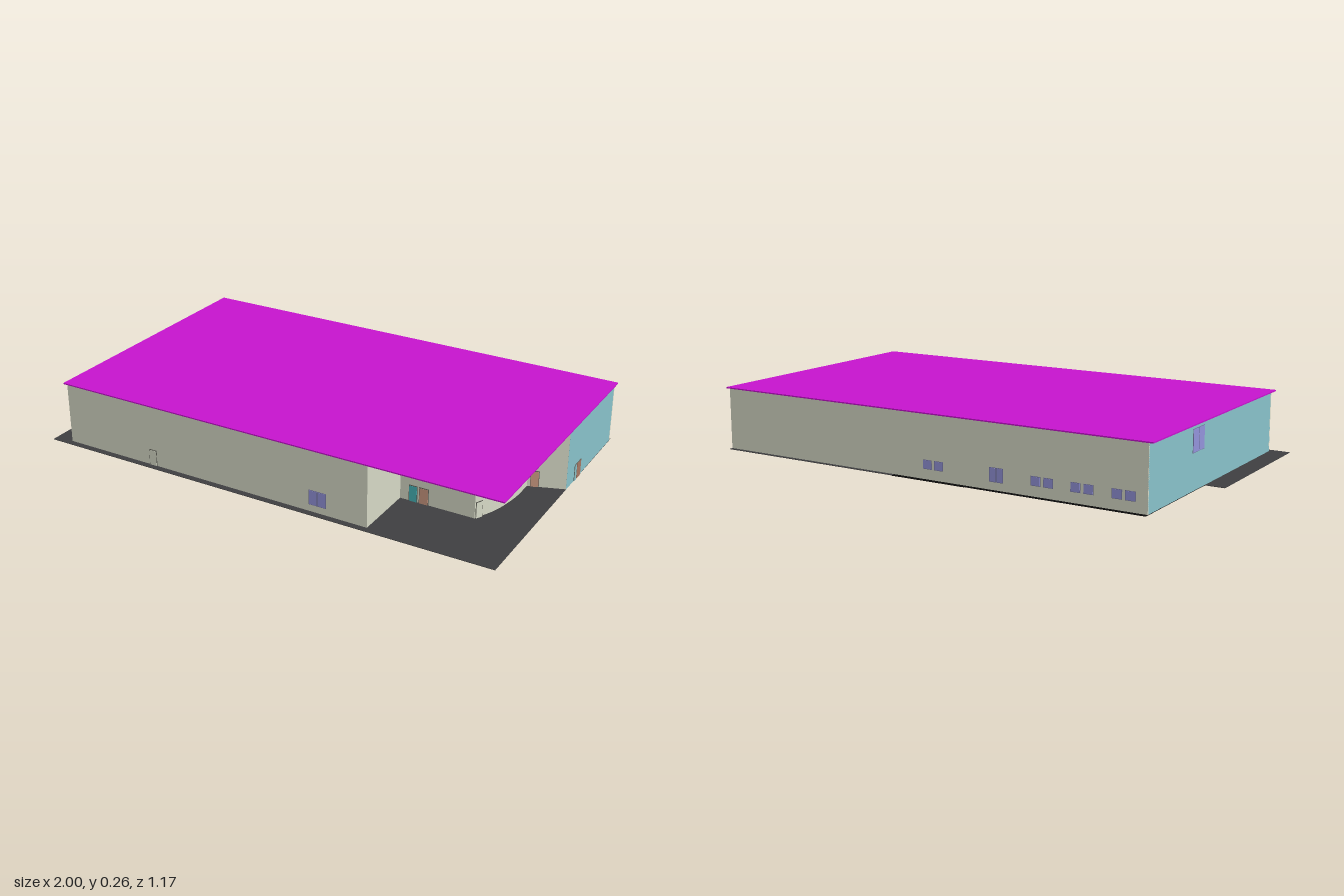
import * as THREE from 'three';

const H = 0.255, T = 0.006;
const CREAM = 0xd8dbc8, CYAN = 0x8ac4cc, DARK = 0x404042, BLACK = 0x0b0b0b;
const LILAC = 0x9494dc, FRAME = 0x77779c, SALMON = 0xcc9a82, TEAL = 0x48b4b8, GREY = 0x606058;

const mats = {};
const mat = (color) => (mats[color] ??= new THREE.MeshStandardMaterial({ color }));

function box(name, w, h, d, x, y, z, color, parent) {
  const m = new THREE.Mesh(new THREE.BoxGeometry(w, h, d), mat(color));
  m.name = name;
  m.position.set(x, y, z);
  parent.add(m);
  return m;
}

// Horizontal slab given by its x and z limits
function slab(name, x0, x1, z0, z1, y0, y1, color, parent) {
  return box(name, x1 - x0, y1 - y0, z1 - z0, (x0 + x1) / 2, (y0 + y1) / 2, (z0 + z1) / 2, color, parent);
}

// Wall group: local x runs from a to b, local +z points outwards
function wall(name, a, b, color, parent, trim = 0) {
  const g = new THREE.Group();
  const dx = b[0] - a[0], dz = b[1] - a[1], len = Math.hypot(dx, dz);
  g.name = name;
  g.position.set(a[0], 0, a[1]);
  g.rotation.y = Math.atan2(-dz, dx);
  box(name + 'Panel', len - 2 * trim, H, T, len / 2, H / 2, -T / 2, color, g);
  parent.add(g);
  return g;
}

// Door leaf in a thin frame, s is the distance along the wall
function door(g, s, w, color, h = 0.07) {
  box('doorFrame', w, h, 0.002, s, h / 2, 0.0005, GREY, g);
  box('doorLeaf', w - 0.004, h - 0.003, 0.003, s, (h - 0.003) / 2, 0.001, color, g);
}

// Window with a frame and a row of panes
function windowUnit(g, s, y, w, h, panes) {
  box('windowFrame', w, h, 0.002, s, y, 0.0005, FRAME, g);
  const pw = w / panes;
  for (let i = 0; i < panes; i++) {
    box('windowPane', pw - 0.004, h - 0.004, 0.003, s - w / 2 + pw * (i + 0.5), y, 0.001, LILAC, g);
  }
}

export function createModel() {
  const root = new THREE.Group();
  root.name = 'building';

  // Roof and ground slabs
  slab('roof', -0.94, 1, -0.58, 0.56, H, 0.26, 0xc814d0, root);
  slab('forecourt', -1, 0.99, -0.09, 0.585, 0, 0.002, DARK, root);
  slab('rearFloor', 0.15, 0.99, -0.585, -0.09, 0, 0.002, DARK, root);
  slab('middleFloor', -0.18, 0.15, -0.27, -0.09, 0, 0.002, DARK, root);
  slab('blackFloor', -0.18, 0.15, -0.588, -0.27, 0, 0.002, BLACK, root);
  slab('blackFloorEnd', -0.92, -0.18, -0.585, -0.09, 0, 0.002, BLACK, root);

  // Front wall with a door and a two-pane window
  const front = wall('frontWall', [-0.92, 0.56], [0.47, 0.56], CREAM, root);
  door(front, 0.42, 0.036, CREAM);
  windowUnit(front, 1.18, 0.062, 0.075, 0.062, 2);

  // Recessed entrance
  wall('recessSideWall', [0.47, 0.56], [0.47, 0.3], CREAM, root);
  const entrance = wall('entranceWall', [0.47, 0.3], [0.78, 0.3], CREAM, root);
  door(entrance, 0.055, 0.036, TEAL);
  door(entrance, 0.1, 0.04, SALMON);

  // Bowed wall, one smooth sheet swept up from a curve
  const bow = new THREE.CatmullRomCurve3(
    [[0.78, 0.3], [0.823, 0.2], [0.847, 0.08], [0.85, -0.03]].map(([x, z]) => new THREE.Vector3(x, 0, z)));
  const sheet = new THREE.PlaneGeometry(1, H, 24, 1);
  const p = sheet.attributes.position;
  for (let i = 0; i < p.count; i++) {
    const c = bow.getPoint(p.getX(i) + 0.5);
    p.setXYZ(i, c.x, p.getY(i) + H / 2, c.z);
  }
  sheet.computeVertexNormals();
  const bowWall = new THREE.Mesh(sheet,
    new THREE.MeshStandardMaterial({ color: CREAM, side: THREE.DoubleSide }));
  bowWall.name = 'bowedWall';
  root.add(bowWall);

  // Door set on the start of the bow
  const bowDoor = new THREE.Group();
  bowDoor.name = 'bowedWallDoor';
  bowDoor.position.set(0.79, 0, 0.284);
  bowDoor.rotation.y = Math.atan2(0.1, 0.05);
  door(bowDoor, 0, 0.032, CREAM);
  root.add(bowDoor);

  // Slanted wall beside the bow
  const slant = wall('slantedWall', [0.85, -0.03], [0.99, -0.08], CREAM, root);
  door(slant, 0.028, 0.034, SALMON);

  // Coloured end walls
  const leftEnd = wall('leftEndWall', [0.99, -0.08], [0.99, -0.57], CYAN, root, 0.001);
  door(leftEnd, 0.092, 0.022, CYAN);
  door(leftEnd, 0.125, 0.045, 0xa87864);
  const rightEnd = wall('rightEndWall', [-0.92, -0.57], [-0.92, 0.56], CYAN, root, 0.001);
  windowUnit(rightEnd, 0.41, 0.19, 0.1, 0.09, 2);

  // Back wall: one larger window and four pairs of small ones
  const back = wall('backWall', [0.99, -0.57], [-0.92, -0.57], CREAM, root);
  windowUnit(back, 0.99 + 0.31, 0.06, 0.06, 0.055, 2);
  for (const x of [-0.03, -0.503, -0.665, -0.828]) {
    for (const side of [-1, 1]) windowUnit(back, 0.99 - x + side * 0.026, 0.06, 0.04, 0.036, 1);
  }
  return root;
}
